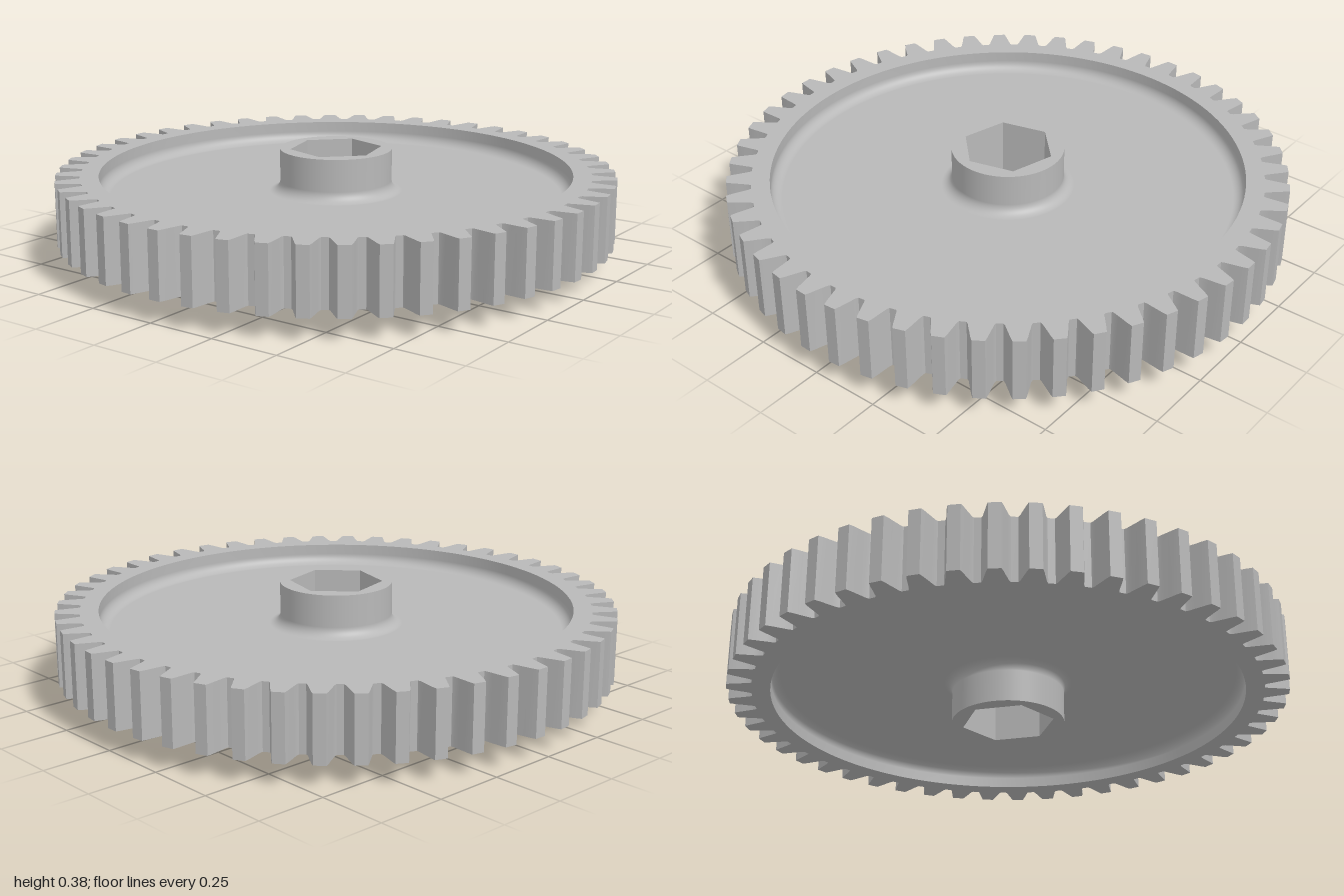
import * as THREE from 'three';
import { toCreasedNormals } from 'three/addons/utils/BufferGeometryUtils.js';

const TEETH = 50, HEIGHT = 0.385;
const RIM_LOW = 0.077, RIM_HIGH = 0.308, RIM_INNER = 0.847;
const HUB_R = 0.201, WEB_TOP = 0.231, FILLET = 0.0385;
const SEGMENTS = 120;

// Outline point at angle a, measured from +z towards +x
const polar = (r, a) => new THREE.Vector2(r * Math.sin(a), r * Math.cos(a));

const ring = (r, n, offset = 0) =>
  Array.from({ length: n }, (_, i) => polar(r, offset + (i * 2 * Math.PI) / n));

// Closed outline of the toothed edge: radius and half angle of one flank
function gearOutline() {
  const flank = [[0.913, 0.05], [0.922, 0.0445], [0.942, 0.0385], [0.962, 0.0325], [0.981, 0.0275], [1, 0.021]];
  const points = [];
  for (let i = 0; i < TEETH; i++) {
    const a = 0.0195 + (i * 2 * Math.PI) / TEETH;
    flank.forEach(([r, h]) => points.push(polar(r, a - h)));
    [...flank].reverse().forEach(([r, h]) => points.push(polar(r, a + h)));
  }
  return points;
}

// Upright wall along an outline; reversed outlines face inwards
function wall(outline, low, high) {
  const n = outline.length;
  const geometry = new THREE.CylinderGeometry(1, 1, 1, n, 1, true);
  const pos = geometry.attributes.position;
  for (let i = 0; i < pos.count; i++) {
    const p = outline[(i % (n + 1)) % n];
    pos.setXYZ(i, p.x, pos.getY(i) > 0 ? high : low, p.y);
  }
  return toCreasedNormals(geometry, 0.6);
}

// Flat face between an outline and a hole, facing up or down
function cap(outline, hole, y, up) {
  const s = up ? -1 : 1;
  const flip = (pts) => pts.map((p) => new THREE.Vector2(p.x, s * p.y));
  const shape = new THREE.Shape(flip(outline));
  shape.holes.push(new THREE.Path(flip(hole)));
  return new THREE.ShapeGeometry(shape).rotateX((s * Math.PI) / 2).translate(0, y, 0);
}

export function createModel() {
  const gear = new THREE.Group();
  gear.name = 'spurGear';
  const grey = new THREE.MeshStandardMaterial({ color: 0xb8b8b8 });
  grey.name = 'grey';

  const add = (name, geometry) => {
    const mesh = new THREE.Mesh(geometry, grey);
    mesh.name = name;
    gear.add(mesh);
  };

  // Toothed rim
  const teeth = gearOutline();
  const rimHole = ring(RIM_INNER, SEGMENTS);
  add('teeth', wall(teeth, RIM_LOW, RIM_HIGH));
  add('rimTop', cap(teeth, rimHole, RIM_HIGH, true));
  add('rimBottom', cap(teeth, rimHole, RIM_LOW, false));

  // Rim wall, filleted web and hub side in one turned profile, mirrored below
  const path = new THREE.Path();
  path.moveTo(RIM_INNER, RIM_HIGH);
  path.lineTo(RIM_INNER, WEB_TOP + FILLET);
  path.absarc(RIM_INNER - FILLET, WEB_TOP + FILLET, FILLET, 0, -Math.PI / 2, true);
  path.lineTo(HUB_R + FILLET, WEB_TOP);
  path.absarc(HUB_R + FILLET, WEB_TOP + FILLET, FILLET, -Math.PI / 2, -Math.PI, true);
  path.lineTo(HUB_R, HEIGHT);
  const upper = path.getPoints(8);
  const lower = upper.map((p) => new THREE.Vector2(p.x, HEIGHT - p.y)).reverse();
  add('webTop', new THREE.LatheGeometry(upper, SEGMENTS));
  add('webBottom', new THREE.LatheGeometry(lower, SEGMENTS));

  // Hub ends and the hexagonal bore
  const hubEdge = ring(HUB_R, SEGMENTS);
  const hex = ring(0.166, 6, Math.PI / 12);
  add('hubTop', cap(hubEdge, hex, HEIGHT, true));
  add('hubBottom', cap(hubEdge, hex, 0, false));
  add('hexBore', wall([...hex].reverse(), 0, HEIGHT));

  return gear;
}
